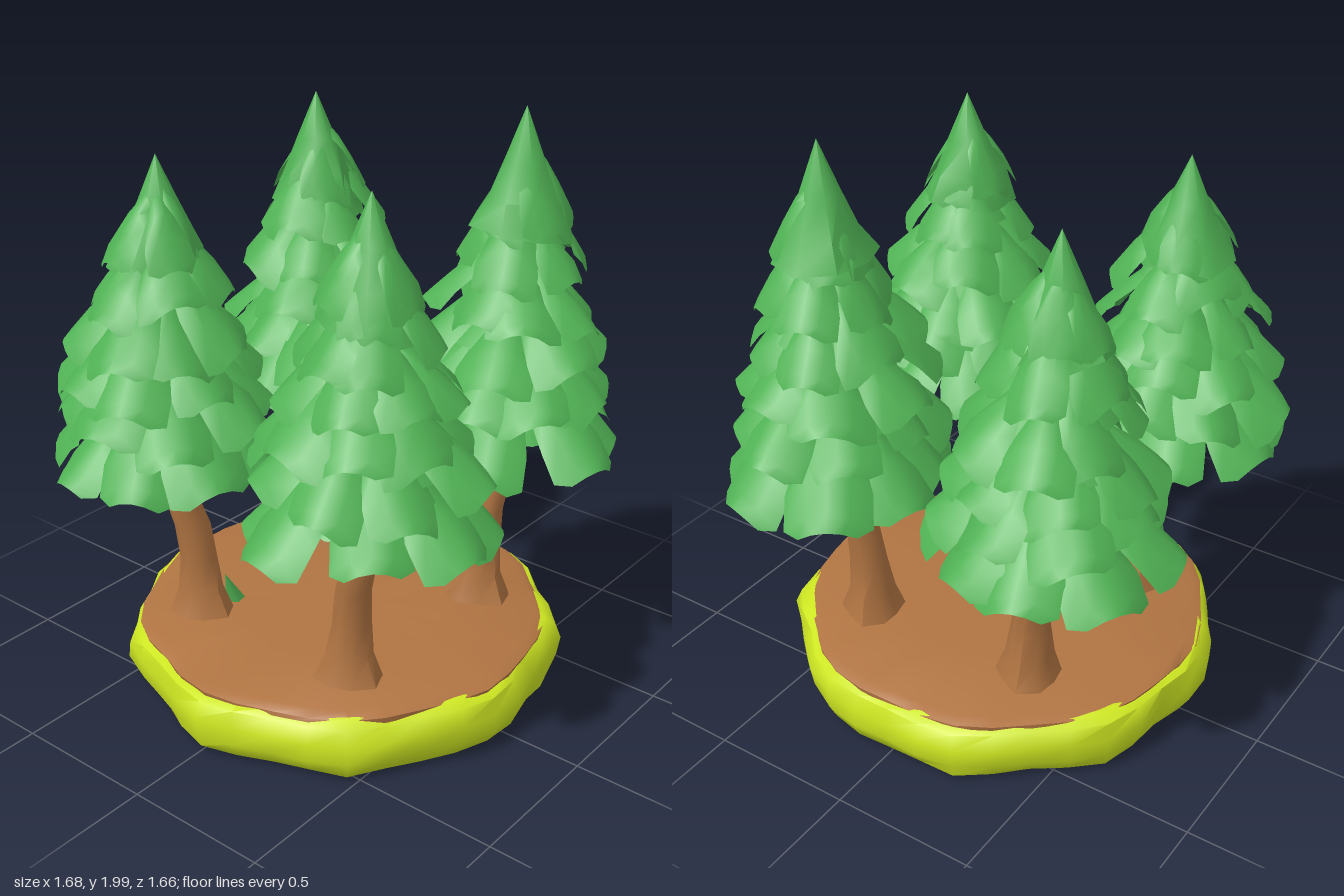
import * as THREE from 'three';
import { mergeGeometries, toCreasedNormals } from 'three/addons/utils/BufferGeometryUtils.js';

const mat = (name, color, side = THREE.FrontSide) => {
  const m = new THREE.MeshStandardMaterial({ color, side });
  m.name = name;
  return m;
};

function seeded(seed) {
  let s = seed * 7919 + 17;
  return () => (s = (s * 16807) % 2147483647) / 2147483647;
}

// Grid of rows (running upward) and columns (running round +x to +z)
function surface(rows, cols, point, closed, crease = 0.7) {
  const pos = [], idx = [];
  for (let i = 0; i < rows; i++) for (let j = 0; j < cols; j++) pos.push(...point(i, j));
  const last = closed ? cols : cols - 1;
  for (let i = 0; i < rows - 1; i++) for (let j = 0; j < last; j++) {
    const k = (j + 1) % cols;
    const a = i * cols + j, b = a + cols, c = i * cols + k, d = c + cols;
    idx.push(a, b, c, c, b, d);
  }
  const g = new THREE.BufferGeometry();
  g.setAttribute('position', new THREE.Float32BufferAttribute(pos, 3));
  g.setIndex(idx);
  return toCreasedNormals(g, crease);
}

// Round slab from a [radius, y] profile with a lumpy rim
function slab(profile, cols, lump, seed) {
  const rnd = seeded(seed);
  const wob = profile.map(() => Array.from({ length: cols }, () => rnd() - 0.5));
  return surface(profile.length, cols, (i, j) => {
    const [r, y] = profile[i], a = (j / cols) * Math.PI * 2;
    const edge = r > 0.5 ? 1 : 0;
    const R = r * (1 + edge * lump * (Math.sin(a * 9) * 0.6 + wob[i][j] * 0.8));
    const dy = edge && y > 0.03 ? wob[i][j] * lump * 0.4 : 0;
    return [Math.cos(a) * R, y + dy, Math.sin(a) * R - 0.03];
  }, true, 0.9);
}

// One drooping, arched bough with a folded underside at its tip
function bough(angle, R, y, drop, width, roll) {
  const ts = [0.68, 1, 0.88, 0.62, 0.3, 0], ws = [0.7, 0.66, 1, 0.98, 0.7, 0.4];
  const ca = Math.cos(angle), sa = Math.sin(angle);
  return surface(6, 5, (i, j) => {
    const s = j / 2 - 1, t = ts[i];
    const r = R * (0.2 + 0.8 * t) * (1 - (i < 3 ? 0.06 * s * s : 0));
    const w = s * ws[i] * width / 2;
    const h = i === 0 ? y + 0.045 : y + drop * (1 - Math.pow(t, 1.25));
    const arch = (i === 0 ? 0.08 : i === 1 ? 0.14 : 0.28) * width * s * s;
    return [ca * r - sa * w, h - arch + roll * w, sa * r + ca * w];
  }, false, 1);
}

// Tiers from the bottom: [y, radius, drop, count, bough width]
const TIERS = [
  [0.88, 0.405, 0.27, 8, 0.265],
  [1.045, 0.37, 0.23, 8, 0.25],
  [1.185, 0.335, 0.22, 7, 0.25],
  [1.335, 0.29, 0.21, 7, 0.22],
  [1.49, 0.23, 0.21, 6, 0.2],
  [1.62, 0.165, 0.2, 5, 0.17],
];

function makeTree(t, leaf, bark) {
  const tree = new THREE.Group(), rnd = seeded(t.seed);
  tree.name = t.name;
  const add = (geo, m, name) => {
    const mesh = new THREE.Mesh(geo, m);
    mesh.name = name;
    tree.add(mesh);
  };
  const k = (t.top - 0.84) / 1.16;
  const lift = y => 0.84 + (y - 0.84) * k;
  // canopy centre drifts from its foot to its peak
  const centre = y => {
    const f = (y - 0.84) / (t.top - 0.84);
    return [t.foot[0] + (t.peak[0] - t.foot[0]) * f, t.foot[1] + (t.peak[1] - t.foot[1]) * f];
  };

  // Trunk: bent, flared at the root
  const rings = [[0.2, 0.13, 0], [0.25, 0.112, 0], [0.33, 0.082, 0.04], [0.45, 0.066, 0.12],
    [0.58, 0.06, 0.3], [0.72, 0.056, 0.75], [0.9, 0.046, 0.85], [1.15, 0.03, 1]];
  add(surface(rings.length, 9, (i, j) => {
    const [y, r, f] = rings[i];
    const a = (j / 9) * Math.PI * 2 + t.seed;
    const q = r * (i < 3 ? 0.94 + 0.12 * Math.cos(a * 3) : 1) * (0.95 + rnd() * 0.1);
    return [t.root[0] + (t.foot[0] - t.root[0]) * f * 0.8 + Math.cos(a) * q, y,
      t.root[1] + (t.foot[1] - t.root[1]) * f * 0.8 + Math.sin(a) * q];
  }, true, 1), bark, 'trunk');

  TIERS.forEach(([y0, R, drop, n, width], ti) => {
    const y = lift(y0), [cx, cz] = centre(y), parts = [];
    const turn = t.turn + ti * 0.4;
    for (let i = 0; i < n; i++) {
      const a = turn + ((i + (rnd() - 0.5) * 0.4) / n) * Math.PI * 2;
      parts.push(bough(a, R * (0.88 + rnd() * 0.22), y + (rnd() - 0.5) * (ti ? 0.08 : 0.04),
        drop * (0.88 + rnd() * 0.24), width * (0.9 + rnd() * 0.25), (rnd() - 0.5) * (ti ? 0.5 : 0.25)));
    }
    // hollow-bottomed core behind the boughs
    const core = [[0.03, 0.6], [0.66 * R, 0.18], [0.02, 1.15]];
    parts.push(surface(3, 9, (i, j) => {
      const a = (j / 9) * Math.PI * 2;
      return [Math.cos(a) * core[i][0], y + core[i][1] * drop, Math.sin(a) * core[i][0]];
    }, true));
    add(mergeGeometries(parts).translate(cx, 0, cz), leaf, 'boughTier' + (ti + 1));
  });

  // Pointed crown with an uneven hem
  const crown = [[0.03, -0.32], [0.165, -0.4], [0.12, -0.29], [0.066, -0.17], [0, 0]];
  add(surface(5, 8, (i, j) => {
    const [r, y] = crown[i], a = (j / 8) * Math.PI * 2 + t.seed;
    const q = r * (i < 3 ? 0.88 + rnd() * 0.22 : 1);
    const hem = i === 1 ? (rnd() - 0.6) * 0.08 : 0;
    return [t.peak[0] + Math.cos(a) * q, t.top + (y + hem) * k, t.peak[1] + Math.sin(a) * q];
  }, true, 0.9), leaf, 'crown');
  return tree;
}

export function createModel() {
  const model = new THREE.Group();
  model.name = 'pineGrove';
  const leaf = mat('pineGreen', 0x50b254, THREE.DoubleSide);
  const brown = mat('earthBrown', 0xb07442);
  const grass = mat('grassYellowGreen', 0xcfe822);

  // Lumpy grass rim and underside
  const rim = new THREE.Mesh(slab([[0, 0.01], [0.66, 0.01], [0.715, 0.03], [0.74, 0.085],
    [0.745, 0.15], [0.725, 0.205], [0.69, 0.225], [0, 0.215]], 36, 0.036, 5), grass);
  rim.name = 'grassBase';
  model.add(rim);

  // Soil on top
  const soil = new THREE.Mesh(slab([[0.7, 0.195], [0.705, 0.225], [0.67, 0.24], [0.35, 0.242],
    [0, 0.245]], 36, 0.022, 9), brown);
  soil.name = 'soilTop';
  model.add(soil);

  const trees = [
    { name: 'backLeftTree', seed: 3, turn: -0.44, top: 2.0, root: [0.34, -0.37], foot: [0.39, -0.45], peak: [0.41, -0.435] },
    { name: 'backRightTree', seed: 8, turn: -0.25, top: 1.92, root: [-0.31, -0.36], foot: [-0.44, -0.44], peak: [-0.45, -0.43] },
    { name: 'frontLeftTree', seed: 12, turn: 0.2, top: 1.91, root: [0.31, 0.32], foot: [0.42, 0.365], peak: [0.42, 0.36] },
    { name: 'frontRightTree', seed: 21, turn: 1.15, top: 1.87, root: [-0.35, 0.32], foot: [-0.41, 0.42], peak: [-0.43, 0.37] },
  ];
  trees.forEach(t => model.add(makeTree(t, leaf, brown)));

  // Small sprout beside one trunk
  const sprout = new THREE.Mesh(new THREE.ConeGeometry(0.04, 0.15, 5), leaf);
  sprout.name = 'sprout';
  sprout.position.set(-0.3, 0.29, 0.235);
  sprout.rotation.x = 0.35;
  model.add(sprout);
  return model;
}
